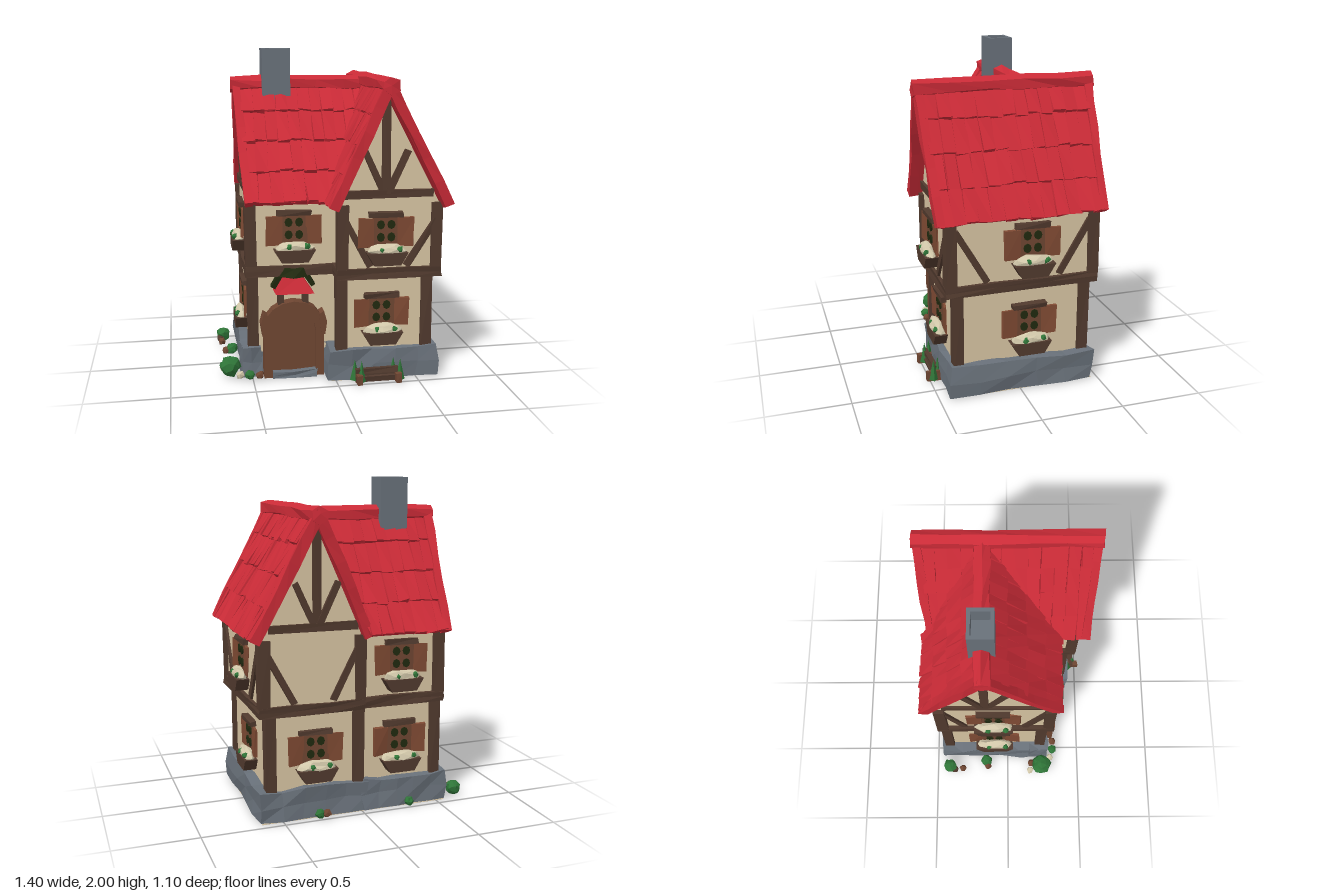
import * as THREE from 'three';
import { mergeGeometries } from 'three/addons/utils/BufferGeometryUtils.js';

const paint = (name, color) => { const m = new THREE.MeshStandardMaterial({ color }); m.name = name; return m; };
const M = {
  roof: paint('roof red', 0xcb2b37), wall: paint('plaster', 0xd8c5a3), timber: paint('dark timber', 0x513a2e),
  door: paint('door brown', 0x6f4632), shutter: paint('shutter brown', 0x7f4a33), stone: paint('stone grey', 0x69717a),
  leaf: paint('leaf green', 0x2f7538), pane: paint('dark pane', 0x20290f), flower: paint('cream flowers', 0xd2c8aa),
};

let seed = 7;
const rnd = (a = -1, b = 1) => { seed = (seed * 16807) % 2147483647; return a + (b - a) * seed / 2147483647; };

// Faceted normals
const facet = g => { const f = g.index ? g.toNonIndexed() : g; f.computeVertexNormals(); return f; };

// Jitter that keeps shared corners together; vertices at or below 'floor' keep their height
function rough(g, amt, floor = -Infinity) {
  const p = g.attributes.position, seen = {};
  for (let i = 0; i < p.count; i++) {
    const v = [p.getX(i), p.getY(i), p.getZ(i)];
    const k = v.map(n => Math.round(n * 1e4)).join();
    const o = seen[k] ??= [rnd() * amt, rnd() * amt, rnd() * amt];
    p.setXYZ(i, v[0] + o[0], v[1] <= floor ? v[1] : v[1] + o[1], v[2] + o[2]);
  }
  return facet(g);
}
function add(parent, name, geo, mat, x = 0, y = 0, z = 0) {
  const m = new THREE.Mesh(geo, mat);
  m.name = name; m.position.set(x, y, z); parent.add(m);
  return m;
}
// Box from its minimum and maximum corners
function block(parent, name, mat, a, b, seg = 1, amt = 0) {
  const s = b.map((n, i) => n - a[i]);
  const g = new THREE.BoxGeometry(...s, seg, Math.min(seg, 2), seg);
  g.translate(...a.map((n, i) => n + s[i] / 2));
  return add(parent, name, rough(g, amt, a[1] + 1e-4), mat);
}
function prism(points, depth, holes = []) {
  const s = new THREE.Shape(points.map(p => new THREE.Vector2(...p)));
  holes.forEach(h => s.holes.push(new THREE.Path(h.map(p => new THREE.Vector2(...p)))));
  return facet(new THREE.ExtrudeGeometry(s, { depth, bevelEnabled: false }));
}
// Group lying on a wall: local x runs along the wall, local z points outwards
function wallFace(parent, name, side, dist) {
  const g = new THREE.Group(), a = { front: 0, right: 1, back: 2, left: 3 }[side] * Math.PI / 2;
  g.name = name; g.rotation.y = a;
  g.position.set(Math.sin(a) * dist, 0, Math.cos(a) * dist);
  parent.add(g);
  return g;
}
function bar(parent, name, x1, y1, x2, y2, w = 0.04) {
  const g = new THREE.BoxGeometry(Math.hypot(x2 - x1, y2 - y1), w, 0.03);
  add(parent, name, rough(g, 0.004), M.timber, (x1 + x2) / 2, (y1 + y2) / 2, 0).rotation.z = Math.atan2(y2 - y1, x2 - x1);
}

// Window with panes, shutters, lintel and flower box
function addWindow(face, x, y) {
  const w = new THREE.Group();
  w.name = 'window'; w.position.set(x, y, 0); face.add(w);
  add(w, 'windowFrame', rough(new THREE.BoxGeometry(0.16, 0.2, 0.04), 0.003), M.door, 0, 0, 0);
  for (const sx of [-1, 1]) {
    for (const sy of [-1, 1])
      add(w, 'pane', facet(new THREE.CylinderGeometry(0.024, 0.024, 0.008, 8).rotateX(Math.PI / 2).scale(1, 1.15, 1)), M.pane, sx * 0.032, 0.01 + sy * 0.038, 0.022);
    const s = add(w, 'shutter', rough(new THREE.BoxGeometry(0.095, 0.175, 0.014), 0.005), M.shutter, sx * 0.122, 0, 0.018);
    s.rotation.y = -sx * 0.1;
  }
  add(w, 'lintel', rough(new THREE.BoxGeometry(0.21, 0.03, 0.05), 0.005), M.timber, 0, 0.108, 0.01);
  add(w, 'flowerBox', prism([[-0.08, -0.19], [0.08, -0.19], [0.125, -0.115], [-0.125, -0.115]], 0.08), M.timber);
  const bed = new THREE.IcosahedronGeometry(1, 1).scale(0.122, 0.044, 0.04);
  add(w, 'blossoms', rough(bed, 0.007), M.flower, 0, -0.108, 0.038);
  for (const [lx, ly] of [[-0.035, -0.098], [0.075, -0.095]])
    add(w, 'boxLeaf', rough(new THREE.IcosahedronGeometry(0.02, 0), 0.005), M.leaf, lx, ly, 0.064);
}

// Gable roof with its ridge along local z; valleyEnd is where the z0 side is cut at the eaves
function gableRoof(parent, name, rx, ry, ends, ey, z0, z1, valleyEnd = null) {
  const roof = new THREE.Group(); roof.name = name; parent.add(roof);
  for (const ex of ends) {
    const s = Math.sign(ex - rx), len = Math.hypot(ex - rx, ry - ey);
    const slope = new THREE.Group(); slope.name = 'roofSlope';
    slope.position.set(rx, ry, 0);
    slope.rotation.set(0, s < 0 ? Math.PI : 0, 0);
    const tilt = new THREE.Group(); tilt.rotation.z = -Math.atan2(ry - ey, Math.abs(ex - rx));
    slope.add(tilt); roof.add(slope);
    const a = s < 0 ? -z1 : z0, b = s < 0 ? -z0 : z1, rows = 4, n = Math.round((b - a) / 0.075);
    const limit = x => valleyEnd === null ? z0 - 1 : z0 + (valleyEnd - z0) * x / len;
    const trim = g => {
      const p = g.attributes.position;
      for (let i = 0; i < p.count; i++) p.setZ(i, s * Math.max(s * p.getZ(i), limit(p.getX(i))));
      return facet(g);
    };
    trim(block(tilt, 'roofBoards', M.roof, [0, -0.032, a], [len, -0.005, b]).geometry);
    const tiles = [];
    for (let r = 0; r < rows; r++) for (let i = 0; i < n; i++) {
      const w = (b - a) / n, L = len / rows + 0.02 + rnd() * 0.014;
      const x = (r + 0.5) * len / rows, z = a + (i + 0.5) * w;
      if (s * z + w / 2 < limit(x - L / 2)) continue;
      const g = rough(new THREE.BoxGeometry(L, 0.026, w * 0.99), 0.007);
      g.rotateZ(0.1 + rnd() * 0.03);
      g.translate(x, 0.004, z);
      tiles.push(trim(g));
    }
    add(tilt, 'roofTiles', mergeGeometries(tiles), M.roof);
    // Verge boards flare outwards towards the ridge
    for (const [z, d] of [[a, -1], [b, 1]]) {
      if (valleyEnd !== null && d === -s) continue;
      const g = new THREE.BoxGeometry(len + 0.02, 0.062, 0.05, 5, 1, 1).translate(len / 2, -0.004, z - d * 0.01);
      const p = g.attributes.position;
      for (let i = 0; i < p.count; i++) p.setZ(i, p.getZ(i) + d * 0.03 * (1 - p.getX(i) / len));
      add(tilt, 'vergeBoard', rough(g, 0.006), M.roof);
    }
  }
  const cap = new THREE.CylinderGeometry(0.052, 0.052, z1 - z0 + 0.1, 6, 5).rotateX(Math.PI / 2);
  add(roof, 'ridgeCap', rough(cap, 0.008), M.roof, rx, ry - 0.01, (z0 + z1) / 2);
  return roof;
}

// Timber pattern of a main gable: collar beam, king post and two struts
function gableTimber(face, c, top, l, r, y) {
  bar(face, 'collarBeam', l, y + 0.06, r, y + 0.06, 0.05);
  bar(face, 'kingPost', c, y + 0.06, c, top, 0.05);
  for (const s of [-1, 1]) bar(face, 'gableStrut', c + s * 0.02, y + 0.08, c + s * 0.13, y + 0.32);
}

function shrub(parent, x, y, z, r) {
  add(parent, 'shrub', rough(new THREE.IcosahedronGeometry(r, 1), r * 0.15), M.leaf, x, y, z);
}

export function createModel() {
  const house = new THREE.Group(); house.name = 'house';

  // Stone plinth
  block(house, 'plinthMain', M.stone, [-0.04, 0.005, -0.46], [0.64, 0.19, 0.43], 5, 0.013);
  block(house, 'plinthWing', M.stone, [-0.565, 0.005, -0.46], [0, 0.19, 0.23], 5, 0.013);
  block(house, 'plinthPier', M.stone, [-0.565, 0.005, 0.15], [-0.45, 0.19, 0.28], 2, 0.01);
  block(house, 'doorStep', M.stone, [-0.38, 0, 0.2], [-0.1, 0.045, 0.33], 2, 0.006);
  block(house, 'undersideMain', M.wall, [-0.03, 0, -0.46], [0.63, 0.004, 0.42]);
  block(house, 'undersideWing', M.wall, [-0.55, 0, -0.46], [-0.03, 0.004, 0.24]);

  // Plaster walls
  block(house, 'lowerWallMain', M.wall, [0.02, 0.15, -0.42], [0.58, 0.68, 0.39]);
  block(house, 'lowerWallWing', M.wall, [-0.5, 0.15, -0.415], [0.05, 0.68, 0.24]);
  add(house, 'upperWallMain', prism([[0.02, 0.68], [0.62, 0.68], [0.62, 1.1], [0.29, 1.73], [0.02, 1.12]], 0.9), M.wall, 0, 0, -0.46);
  const wingWall = prism([[-0.43, 0.68], [0.28, 0.68], [0.28, 1.08], [-0.14, 1.71], [-0.43, 1.16]], 0.71);
  add(house, 'upperWallWing', wingWall, M.wall, 0.2, 0, 0).rotation.y = -Math.PI / 2;

  // Floor band and corner posts
  block(house, 'floorBandMain', M.timber, [-0.005, 0.645, -0.475], [0.64, 0.71, 0.46], 3, 0.005);
  block(house, 'floorBandWing', M.timber, [-0.535, 0.645, -0.455], [0.02, 0.71, 0.3], 3, 0.005);
  const post = (x, z, y0, y1) => block(house, 'cornerPost', M.timber, [x - 0.034, y0, z - 0.034], [x + 0.034, y1, z + 0.034], 1, 0.004);
  for (const [x, z] of [[0.565, 0.375], [0.565, -0.41], [0.035, 0.375], [0.02, -0.41], [-0.49, 0.225], [-0.49, -0.405]]) post(x, z, 0.16, 0.66);
  for (const [x, z] of [[0.605, 0.425], [0.605, -0.445], [0.03, 0.425], [0.02, -0.445], [-0.5, 0.265], [-0.5, -0.42]]) post(x, z, 0.7, 1.1);

  // Wall faces with braces and windows
  const frontUp = wallFace(house, 'frontUpper', 'front', 0.44);
  gableTimber(frontUp, 0.29, 1.73, 0.04, 0.58, 1.1);
  bar(frontUp, 'brace', 0.05, 1.0, 0.2, 0.72); bar(frontUp, 'brace', 0.6, 1.0, 0.42, 0.72);
  addWindow(frontUp, 0.29, 0.93);
  addWindow(wallFace(house, 'frontLower', 'front', 0.39), 0.28, 0.42);
  addWindow(wallFace(house, 'wingFrontUpper', 'front', 0.28), -0.24, 0.93);

  const rightUp = wallFace(house, 'rightUpper', 'right', 0.62);
  bar(rightUp, 'brace', -0.4, 1.04, -0.21, 0.72); bar(rightUp, 'brace', 0.42, 1.04, 0.23, 0.72);
  addWindow(rightUp, 0.06, 0.93);
  addWindow(wallFace(house, 'rightLower', 'right', 0.58), 0.06, 0.42);

  const backUp = wallFace(house, 'backUpper', 'back', 0.46);
  gableTimber(backUp, -0.29, 1.73, -0.58, -0.04, 1.1);
  bar(backUp, 'brace', -0.6, 1.04, -0.43, 0.72); bar(backUp, 'brace', -0.03, 1.04, -0.19, 0.72);
  addWindow(wallFace(house, 'wingBackUpper', 'back', 0.425), 0.25, 0.93);
  const backLow = wallFace(house, 'backLower', 'back', 0.412);
  addWindow(backLow, -0.29, 0.42); addWindow(backLow, 0.25, 0.42);

  const leftUp = wallFace(house, 'leftUpper', 'left', 0.51);
  gableTimber(leftUp, -0.14, 1.7, -0.4, 0.22, 1.1);
  bar(leftUp, 'brace', -0.4, 1.04, -0.28, 0.72); bar(leftUp, 'brace', 0.25, 1.04, 0.11, 0.72);
  addWindow(leftUp, -0.09, 0.93);
  addWindow(wallFace(house, 'leftLower', 'left', 0.5), -0.09, 0.42);

  // Roofs and chimney; the wing roof is cut along the valleys
  gableRoof(house, 'mainRoof', 0.29, 1.81, [-0.03, 0.665], 1.1, -0.49, 0.5);
  gableRoof(house, 'wingRoof', -0.14, 1.79, [-0.51, 0.315], 1.1, -0.27, 0.52, 0.02).rotation.y = -Math.PI / 2;
  const sq = (x, y) => [[-x, -y], [x, -y], [x, y], [-x, y]];
  const flue = prism(sq(0.088, 0.074), 0.4, [sq(0.066, 0.054)]).rotateX(-Math.PI / 2);
  add(house, 'chimney', flue, M.stone, -0.293, 1.6, -0.14);
  block(house, 'chimneyFloor', M.stone, [-0.37, 1.84, -0.21], [-0.22, 1.88, -0.08]);

  // Arched door with frame
  const door = wallFace(house, 'doorway', 'front', 0.23);
  const arch = (w, y0, y1) => {
    const pts = [[-w, y0], [w, y0]];
    for (let i = 0; i <= 8; i++) pts.push([w * Math.cos(i * Math.PI / 8), y1 + 0.85 * w * Math.sin(i * Math.PI / 8)]);
    return pts;
  };
  add(door, 'doorFrame', prism(arch(0.185, 0.005, 0.33), 0.09, [arch(0.135, 0.02, 0.3)]), M.door, -0.245, 0, 0);
  add(door, 'doorLeaf', prism(arch(0.14, 0.015, 0.3), 0.06), M.door, -0.245, 0, 0);
  for (const s of [-1, 1]) {
    const cx = -0.245 + s * 0.185;
    const shoulder = [[-0.015, 0.27], [0.008, 0.27], [0.02, 0.35], [0, 0.42], [-0.03, 0.4]];
    add(door, 'archShoulder', prism(shoulder.map(([x, y]) => [s * x, y]), 0.095), M.door, cx, 0, 0);
    block(door, 'canopyPost', M.timber, [-0.245 + s * 0.075 - 0.018, 0.46, 0], [-0.245 + s * 0.075 + 0.018, 0.58, 0.07]);
  }
  // Small canopy with a mossy top
  const hip = new THREE.CylinderGeometry(0.075, 0.165, 0.1, 4).rotateY(Math.PI / 4).scale(1, 1, 0.8);
  add(door, 'canopyRoof', rough(hip, 0.006), M.roof, -0.245, 0.6, 0.04);
  const moss = new THREE.CylinderGeometry(0.07, 0.1, 0.05, 7).scale(1, 1, 0.8);
  add(door, 'canopyMoss', rough(moss, 0.008), M.pane, -0.245, 0.668, 0.04);
  for (const s of [-1, 1]) {
    const edge = add(door, 'canopyMossEdge', rough(new THREE.BoxGeometry(0.03, 0.12, 0.09), 0.006), M.pane, -0.245 + s * 0.094, 0.625, 0.02);
    edge.rotation.z = s * 0.55;
  }

  // Front planter
  for (const y of [0.025, 0.075]) block(house, 'planterBoard', M.timber, [0.11, y - 0.016, 0.46], [0.37, y + 0.016, 0.485], 1, 0.005);
  block(house, 'planterSoil', M.timber, [0.12, 0, 0.42], [0.36, 0.055, 0.47]);
  for (const x of [0.13, 0.37]) {
    block(house, 'planterLeg', M.door, [x - 0.018, 0, 0.42], [x + 0.018, 0.06, 0.52], 1, 0.004);
    for (const d of [-0.02, 0.015])
      add(house, 'leafBlade', facet(new THREE.ConeGeometry(0.03, 0.13, 4)), M.leaf, x + d, 0.075, 0.465 + d);
  }

  // Shrubs and pebbles around the plinth
  shrub(house, -0.635, 0.07, 0.24, 0.065);
  shrub(house, -0.64, 0.05, -0.41, 0.045);
  shrub(house, -0.6, 0.035, -0.15, 0.038);
  shrub(house, -0.52, 0.035, 0.32, 0.03);
  shrub(house, 0.28, 0.03, -0.48, 0.028);
  shrub(house, -0.3, 0.03, -0.48, 0.028);
  for (const [x, z, m] of [[-0.67, 0.16, M.flower], [-0.62, 0.17, M.door], [-0.655, -0.32, M.door], [-0.66, -0.38, M.timber],
    [-0.64, -0.14, M.door], [-0.58, 0.3, M.flower], [-0.46, 0.32, M.door], [0.24, -0.49, M.door]])
    add(house, 'pebble', rough(new THREE.IcosahedronGeometry(0.027, 0), 0.004), m, x, 0.03, z);
  return house;
}
